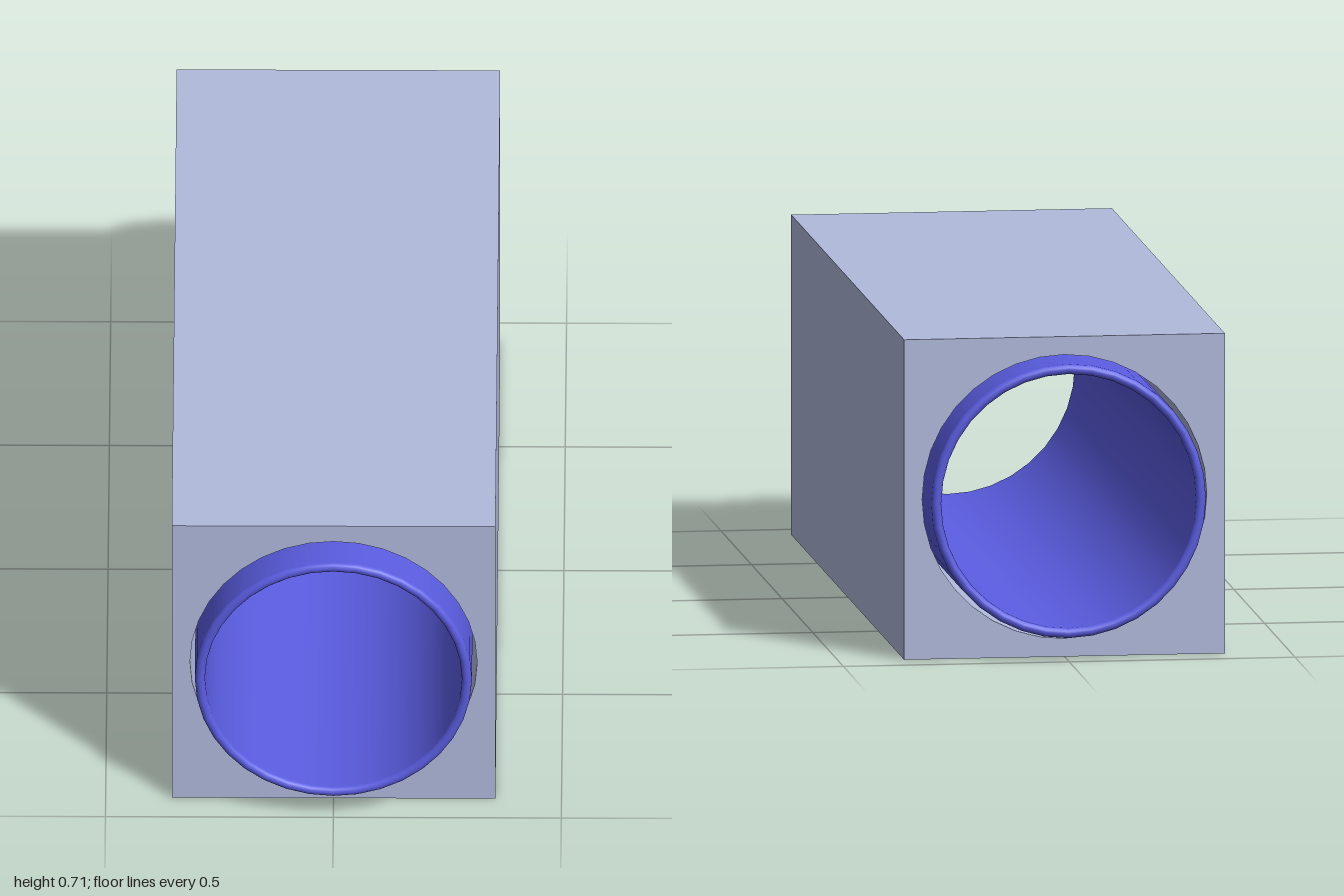
import * as THREE from 'three';
import { toCreasedNormals } from 'three/addons/utils/BufferGeometryUtils.js';

const HALF = 0.355;        // half width of the square block, and height of the bore axis
const BLOCK_LENGTH = 1.844;
const BORE = 0.315;
const OUTER = 0.304, INNER = 0.282;
const TUBE_HALF = 1;

// Square block with a round bore along z
function makeBlock() {
  const shape = new THREE.Shape();
  shape.moveTo(-HALF, -HALF).lineTo(HALF, -HALF).lineTo(HALF, HALF).lineTo(-HALF, HALF).closePath();
  const hole = new THREE.Path();
  hole.absarc(0, 0, BORE, 0, Math.PI * 2, true);
  shape.holes.push(hole);
  const geometry = new THREE.ExtrudeGeometry(shape, {
    depth: BLOCK_LENGTH, bevelEnabled: false, curveSegments: 18,
  });
  geometry.translate(0, HALF, -BLOCK_LENGTH / 2);
  const mesh = new THREE.Mesh(toCreasedNormals(geometry, 0.5),
    new THREE.MeshStandardMaterial({ color: 0xb0badc }));
  mesh.name = 'block';
  return mesh;
}

// Thin tube with rounded rims, slightly longer than the block
function makeTube() {
  const rim = (OUTER - INNER) / 2, mid = (OUTER + INNER) / 2;
  const profile = [new THREE.Vector2(OUTER, 0)];
  for (const end of [0, 1]) {
    const y = (TUBE_HALF - rim) * (end ? -1 : 1);
    for (let i = 0; i <= 8; i++) {
      const a = Math.PI * (end + i / 8);
      profile.push(new THREE.Vector2(mid + rim * Math.cos(a), y + rim * Math.sin(a)));
    }
  }
  profile.push(new THREE.Vector2(OUTER, 0));
  const geometry = new THREE.LatheGeometry(profile, 36);
  geometry.rotateX(Math.PI / 2).translate(0, HALF, 0);
  const mesh = new THREE.Mesh(geometry, new THREE.MeshStandardMaterial({ color: 0x5a5ce0 }));
  mesh.name = 'innerTube';
  return mesh;
}

export function createModel() {
  const group = new THREE.Group();
  group.name = 'sleevedBlock';
  group.add(makeBlock(), makeTube());
  return group;
}
